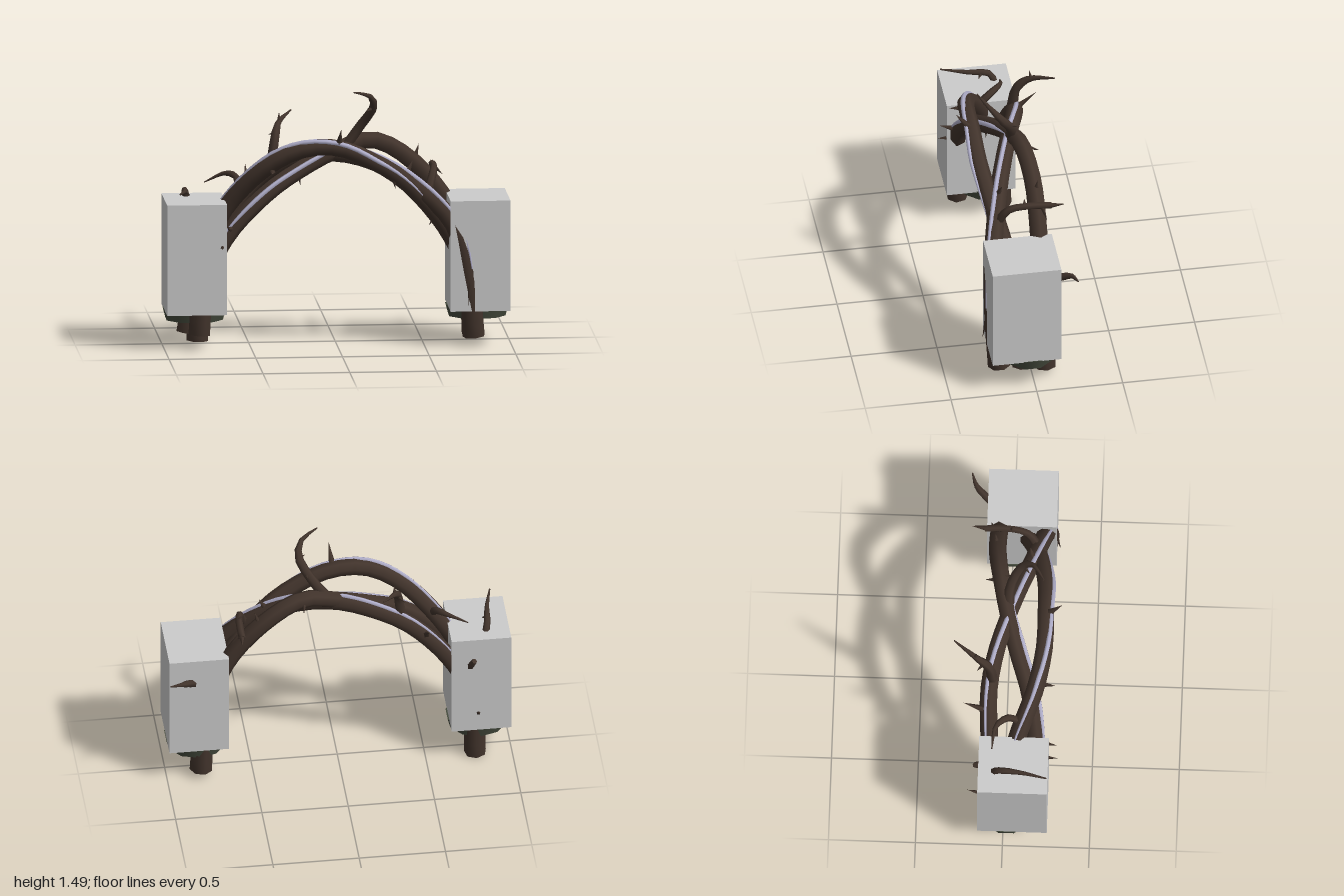
import * as THREE from 'three';

const material = (name, color) => {
  const m = new THREE.MeshStandardMaterial({ color });
  m.name = name;
  return m;
};
const bark = material('dark bark', 0x42342c);
const stone = material('pale grey', 0xcccccc);
const sheen = material('lavender streak', 0xb6b4d0);
const moss = material('dark moss', 0x454b3d);

const vec = (p) => new THREE.Vector3(...p);
const sample = (list, t) => {
  const f = Math.min(Math.max(t, 0), 1) * (list.length - 1);
  const i = Math.min(Math.floor(f), list.length - 2);
  return THREE.MathUtils.lerp(list[i], list[i + 1], f - i);
};

// Tapering round tube with closed ends, swept along a curve
function sweep(curve, radii, steps, sides) {
  const { normals, binormals } = curve.computeFrenetFrames(steps);
  const pos = [], index = [];
  const ring = (i) => {
    const u = i / steps, c = curve.getPointAt(u), r = sample(radii, curve.getUtoTmapping(u));
    for (let j = 0; j < sides; j++) {
      const a = (j / sides) * Math.PI * 2;
      const p = c.clone().addScaledVector(normals[i], Math.cos(a) * r)
        .addScaledVector(binormals[i], Math.sin(a) * r);
      pos.push(p.x, p.y, p.z);
    }
  };
  for (let i = 0; i <= steps; i++) ring(i);
  for (let i = 0; i < steps; i++) {
    for (let j = 0; j < sides; j++) {
      const k = (j + 1) % sides;
      const a = i * sides + j, b = i * sides + k;
      index.push(a, b, a + sides, b, b + sides, a + sides);
    }
  }
  // End caps use their own corners so the rims stay sharp
  const start = pos.length / 3;
  ring(0);
  ring(steps);
  for (let j = 1; j < sides - 1; j++) {
    index.push(start, start + j + 1, start + j);
    index.push(start + sides, start + sides + j, start + sides + j + 1);
  }
  const g = new THREE.BufferGeometry();
  g.setAttribute('position', new THREE.Float32BufferAttribute(pos, 3));
  g.setIndex(index);
  g.computeVertexNormals();
  return g;
}

export function createModel() {
  const model = new THREE.Group();
  model.name = 'thornArch';
  const add = (geometry, mat, name) => {
    const mesh = new THREE.Mesh(geometry, mat);
    mesh.name = name;
    model.add(mesh);
    return mesh;
  };

  // Block and moss skirt at each foot
  for (const s of [-1, 1]) {
    const side = s > 0 ? 'left' : 'right';
    add(new THREE.BoxGeometry(0.345, 0.645, 0.4), stone, side + 'Block')
      .position.set(s * 0.8175, 0.5275, 0.055);
    const skirt = add(new THREE.CylinderGeometry(0.188, 0.17, 0.065, 10), moss, side + 'Moss');
    skirt.position.set(s * 0.815, 0.177, 0.02);
    skirt.scale.z = 0.88;
  }

  // Three intertwined vines, each rooted in both blocks
  const vines = [
    [[-0.86, 0.07, 0.05], [-0.78, 0.5, 0.03], [-0.64, 0.8, 0.07], [-0.4, 1.06, 0.175], [-0.2, 1.16, 0.215],
      [0, 1.165, 0.215], [0.2, 1.085, 0.21], [0.4, 0.95, 0.175], [0.64, 0.66, 0.1], [0.76, 0.4, 0.06], [0.79, 0.045, 0.05]],
    [[-0.79, 0.0, -0.08], [-0.77, 0.4, -0.08], [-0.64, 0.69, -0.085], [-0.4, 0.97, -0.095], [-0.2, 1.065, -0.06],
      [0, 1.095, 0], [0.2, 1.06, 0.065], [0.4, 0.96, 0.13], [0.66, 0.72, 0.2], [0.75, 0.42, 0.207], [0.785, 0.05, 0.185]],
    [[-0.8, 0.08, 0.17], [-0.77, 0.4, 0.18], [-0.64, 0.66, 0.185], [-0.4, 0.9, 0.14], [-0.2, 1.02, 0.065],
      [0, 1.11, 0], [0.2, 1.165, -0.045], [0.4, 1.07, -0.075], [0.64, 0.8, -0.075], [0.77, 0.45, -0.07], [0.8, 0.03, -0.08]],
  ].map((p) => new THREE.CatmullRomCurve3(p.map(vec)));
  const thickness = [0.064, 0.06, 0.053, 0.052, 0.05, 0.048, 0.05, 0.052, 0.053, 0.06, 0.066];
  vines.forEach((c, i) => add(sweep(c, thickness, 36, 7), bark, 'vine' + (i + 1)));

  // Pale streaks lying on the vines: vine, start, end, angles from outward toward the front
  const streaks = [
    [0, 0.18, 0.74, [-0.4, 0.0, 0.7, 1.2, 1.3]],
    [1, 0.18, 0.89, [-0.5, -0.3, 0.2, 0.5, 1.1]],
    [2, 0.18, 0.52, [1.1, 1.2, 1.2]],
  ];
  for (const [v, t0, t1, angles] of streaks) {
    const path = [];
    for (let i = 0; i <= 16; i++) {
      const t = t0 + ((t1 - t0) * i) / 16, a = sample(angles, i / 16);
      const d = vines[v].getTangent(t);
      const outward = new THREE.Vector3(-d.y, d.x, 0).normalize();
      const front = d.clone().cross(outward);
      const r = sample(thickness, t) * 0.93;
      path.push(vines[v].getPoint(t).addScaledVector(outward, Math.cos(a) * r)
        .addScaledVector(front, Math.sin(a) * r));
    }
    add(sweep(new THREE.CatmullRomCurve3(path), [0.004, 0.014, 0.014, 0.014, 0.004], 24, 5), sheen, 'streak' + (v + 1));
  }

  // Curling side branches: base radius, tip radius, path
  const branches = [
    [0.032, 0.004, [[0.05, 1.12, 0], [0.14, 1.25, 0.01], [0.215, 1.38, 0.08], [0.19, 1.45, 0.14], [0.09, 1.485, 0.2]]],
    [0.032, 0.004, [[-0.36, 1.04, -0.08], [-0.34, 1.17, -0.1], [-0.315, 1.245, -0.17], [-0.23, 1.297, -0.305]]],
    [0.026, 0.02, [[0.52, 0.88, 0.15], [0.555, 0.985, 0.09], [0.57, 1.01, -0.02], [0.57, 1.0, -0.155]]],
    [0.026, 0.004, [[0.83, 0.66, -0.1], [0.88, 0.715, -0.17], [0.92, 0.745, -0.215], [0.995, 0.757, -0.242]]],
    [0.022, 0.004, [[-0.85, 0.82, -0.06], [-0.865, 0.885, -0.03], [-0.88, 0.9, 0.1], [-0.915, 0.912, 0.25]]],
    [0.024, 0.003, [[-0.57, 0.88, 0.1], [-0.57, 0.965, 0.02], [-0.63, 0.98, -0.05], [-0.75, 0.925, -0.07]]],
    [0.026, 0.016, [[-0.74, 0.62, -0.1], [-0.76, 0.68, -0.145], [-0.775, 0.715, -0.165]]],
  ];
  branches.forEach(([r0, r1, p], i) =>
    add(sweep(new THREE.CatmullRomCurve3(p.map(vec)), [r0, r0 * 0.8, r1], 9, 6), bark, 'branch' + (i + 1)));

  // Thorns: base radius, base, tip
  const thorns = [
    [0.022, [0, 1.19, 0.235], [0.01, 1.29, 0.31]],
    [0.022, [-0.5, 0.9, -0.12], [-0.5, 1.0, -0.24]],
    [0.02, [-0.22, 1.03, 0.09], [-0.21, 0.93, 0.1]],
    [0.02, [-0.38, 1.03, 0.2], [-0.39, 1.03, 0.285]],
    [0.02, [-0.62, 0.7, 0.21], [-0.64, 0.72, 0.3]],
    [0.018, [-0.67, 0.6, 0.22], [-0.675, 0.6, 0.305]],
    [0.02, [0.2, 1.16, -0.06], [0.21, 1.13, -0.14]],
    [0.02, [0.46, 1.03, -0.08], [0.49, 1.13, -0.09]],
    [0.02, [0.31, 1.02, 0.19], [0.33, 0.92, 0.22]],
    [0.02, [0.4, 0.99, 0.13], [0.44, 1.07, 0.11]],
    [0.02, [0.57, 0.75, 0.12], [0.53, 0.69, 0.13]],
    [0.018, [0.57, 1.0, -0.14], [0.58, 1.007, -0.235]],
    [0.016, [0.57, 1.0, -0.1], [0.63, 0.94, -0.12]],
    [0.016, [0.57, 1.01, 0.0], [0.55, 1.05, 0.0]],
    [0.014, [0.21, 1.37, 0.08], [0.17, 1.36, 0.12]],
    [0.014, [0.17, 1.3, 0.04], [0.18, 1.29, -0.03]],
    [0.014, [-0.33, 1.2, -0.13], [-0.37, 1.18, -0.17]],
    [0.014, [-0.31, 1.25, -0.18], [-0.31, 1.31, -0.17]],
    [0.014, [-0.87, 0.89, 0.02], [-0.84, 0.87, 0.04]],
    [0.016, [-0.8, 0.31, -0.12], [-0.8, 0.365, -0.21]],
    [0.02, [0.765, 0.45, 0.24], [0.745, 0.23, 0.275]],
  ];
  thorns.forEach(([r, base, tip], i) => {
    const b = vec(base), axis = vec(tip).sub(b), length = axis.length();
    const cone = add(new THREE.ConeGeometry(r, length, 5).translate(0, length / 2, 0), bark, 'thorn' + (i + 1));
    cone.position.copy(b);
    cone.quaternion.setFromUnitVectors(new THREE.Vector3(0, 1, 0), axis.normalize());
  });

  return model;
}
